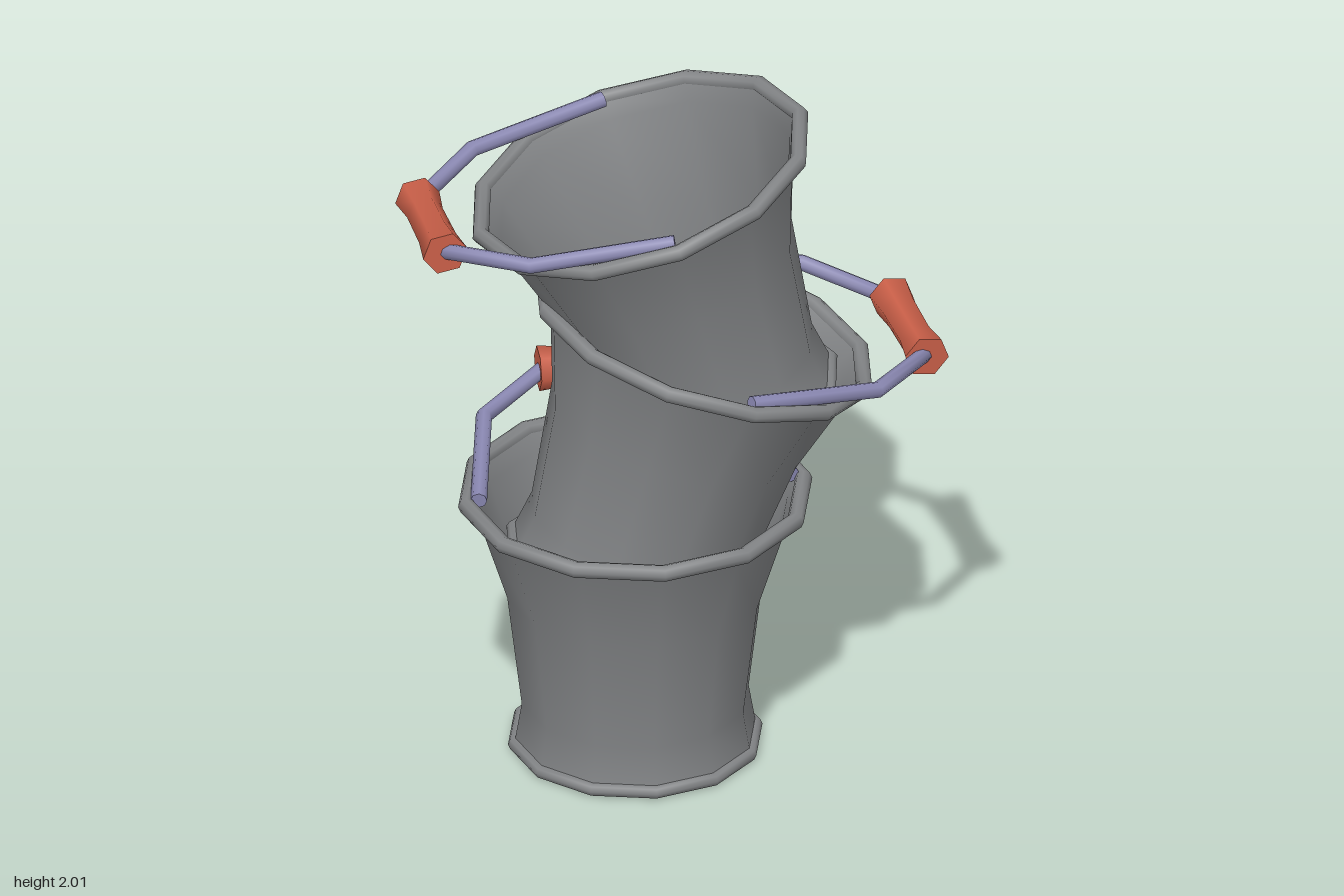
import * as THREE from 'three';

const grey = new THREE.MeshStandardMaterial({ color: 0x828486 });
grey.name = 'bucketGrey';
const lilac = new THREE.MeshStandardMaterial({ color: 0x8a88b2 });
lilac.name = 'handleLilac';
const red = new THREE.MeshStandardMaterial({ color: 0xc95f48 });
red.name = 'gripRed';

const SIDES = 12;

function add(parent, name, geometry, material) {
  const mesh = new THREE.Mesh(geometry, material);
  mesh.name = name;
  parent.add(mesh);
  return mesh;
}

function lathe(points, sides = SIDES) {
  return new THREE.LatheGeometry(points.map(([r, y]) => new THREE.Vector2(r, y)), sides);
}

// Straight-segment path with mitred corners
class Polyline extends THREE.Curve {
  constructor(points) {
    super();
    this.points = points;
  }
  getPoint(t, target = new THREE.Vector3()) {
    const n = this.points.length - 1;
    const i = Math.min(Math.floor(t * n), n - 1);
    return target.lerpVectors(this.points[i], this.points[i + 1], t * n - i);
  }
  getPointAt(t, target) { return this.getPoint(t, target); }
  getTangentAt(t, target) { return this.getTangent(t, target); }
}

function ring(parent, name, radius, tube, y) {
  const g = new THREE.TorusGeometry(radius, tube, 8, SIDES);
  add(parent, name, g.rotateX(Math.PI / 2), grey).position.y = y;
}

// Bail handle reaching out along +x, with a waisted six-sided grip
function makeHandle() {
  const handle = new THREE.Group();
  handle.name = 'handle';
  const half = [[0, 0.455], [0.41, 0.37], [0.615, 0.165]];
  const mirrored = half.map(([x, z]) => [x, -z]).reverse();
  const points = [...half, ...mirrored].map(([x, z]) => new THREE.Vector3(x, 0, z));
  add(handle, 'handleRod', new THREE.TubeGeometry(new Polyline(points), points.length - 1, 0.024, 8), lilac);
  for (const [end, next] of [[0, 1], [5, 4]]) {
    const cap = add(handle, 'rodEnd', new THREE.CircleGeometry(0.024, 8), lilac);
    cap.position.copy(points[end]);
    cap.lookAt(points[end].clone().multiplyScalar(2).sub(points[next]));
  }

  const grip = new THREE.Group();
  grip.name = 'grip';
  grip.position.x = 0.62;
  grip.rotation.x = Math.PI / 2;
  handle.add(grip);
  const L = 0.177;
  const parts = {
    gripBody: [[0.066, -L], [0.055, -0.08], [0.053, 0.08], [0.066, L]],
    gripEndA: [[0, -L], [0.066, -L]],
    gripEndB: [[0.066, L], [0, L]],
  };
  for (const [name, profile] of Object.entries(parts)) {
    add(grip, name, lathe(profile, 6).rotateY(Math.PI / 2), red);
  }
  return handle;
}

function makeBucket(name, position, tilt, yaw) {
  const bucket = new THREE.Group();
  bucket.name = name;
  bucket.position.set(...position);
  bucket.rotation.set(0, yaw, tilt, 'ZYX');

  // Flared wall, inside and out
  const wall = [[0.352, 0.02], [0.33, 0.15], [0.372, 0.5], [0.455, 0.76], [0.48, 0.81]];
  add(bucket, 'outerWall', lathe(wall), grey);
  const inner = wall.map(([r, y]) => [r - 0.012, y]).reverse();
  add(bucket, 'innerWall', lathe(inner), grey);
  add(bucket, 'innerFloor', lathe([[0.345, 0.03], [0, 0.03]]), grey);
  add(bucket, 'underside', lathe([[0, 0.003], [0.352, 0.003]]), grey);

  // Rolled edges
  ring(bucket, 'topRim', 0.49, 0.025, 0.81);
  ring(bucket, 'baseRim', 0.35, 0.02, 0.02);

  const handle = makeHandle();
  handle.position.y = 0.825;
  handle.rotation.z = 0.12;
  bucket.add(handle);
  return bucket;
}

export function createModel() {
  const model = new THREE.Group();
  model.name = 'bucketStack';
  const tilt = 0.285;
  const deg = Math.PI / 180;
  model.add(
    makeBucket('bottomBucket', [-0.11, 0, 0.08], 0, 90 * deg),
    makeBucket('middleBucket', [-0.138, 0.543, 0.08], -tilt, 7.5 * deg),
    makeBucket('topBucket', [0.133, 1.068, 0.08], tilt, 183.5 * deg),
  );
  return model;
}
